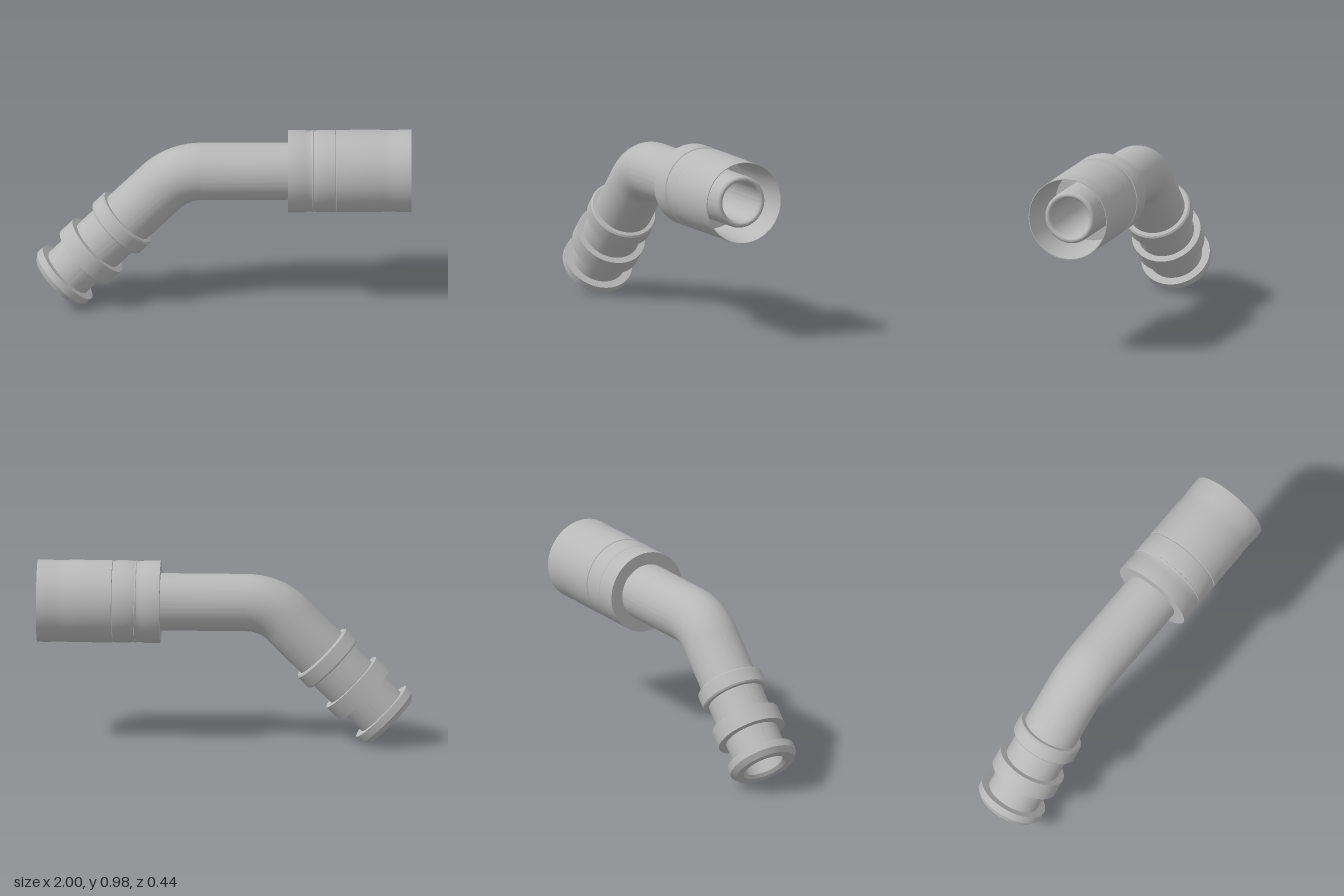
import * as THREE from 'three';
import { toCreasedNormals } from 'three/addons/utils/BufferGeometryUtils.js';

const AXIS_Y = 0.755;        // height of the straight run
const CORNER_X = -0.245;     // where the two pipe axes cross
const BEND_R = 0.302;        // centreline radius of the 45 degree bend
const TANGENT = BEND_R * Math.tan(Math.PI / 8);
const PIPE_R = 0.153, BORE_R = 0.107;

export function createModel() {
  const model = new THREE.Group();
  const metal = new THREE.MeshStandardMaterial({ color: 0xb8b8b8, side: THREE.DoubleSide });
  metal.name = 'grey metal';

  // Turned part from [radius, distance along axis] pairs
  function turned(name, parent, profile) {
    const pts = profile.map(([r, d]) => new THREE.Vector2(r, d));
    const geo = toCreasedNormals(new THREE.LatheGeometry(pts, 96), 0.5);
    const mesh = new THREE.Mesh(geo, metal);
    mesh.name = name;
    parent.add(mesh);
  }

  // Straight run: local y points along +x, distances equal world x
  const straight = new THREE.Group();
  straight.name = 'straightRun';
  straight.position.y = AXIS_Y;
  straight.rotation.z = -Math.PI / 2;
  model.add(straight);
  const bendStart = CORNER_X + TANGENT;
  turned('straightPipe', straight, [[PIPE_R, bendStart], [PIPE_R, 0.36]]);

  // Crimp sleeve with shallow grooves and an open, tapered mouth
  turned('crimpSleeve', straight, [
    [0.15, 0.342], [0.22, 0.342], [0.22, 0.43], [0.217, 0.437], [0.217, 0.468],
    [0.22, 0.472], [0.22, 0.478], [0.215, 0.48], [0.217, 0.488], [0.22, 0.52],
    [0.22, 0.56], [0.218, 0.594], [0.215, 0.597], [0.22, 0.6], [0.22, 0.83],
    [0.217, 0.85], [0.217, 0.9], [0.22, 0.94], [0.22, 1.0], [0.216, 1.0],
    [0.2, 0.83], [0.2, 0.6], [0.12, 0.6],
  ]);

  // Inner nipple with a rounded lip, running back into the bore
  const lip = [];
  const mid = (0.14 + BORE_R) / 2, half = (0.14 - BORE_R) / 2;
  for (let i = 0; i <= 10; i++) {
    const a = (i / 10) * Math.PI;
    lip.push([mid + half * Math.cos(a), 0.95 + 0.022 * Math.sin(a)]);
  }
  turned('innerNipple', straight, [[0.14, 0.58], ...lip, [BORE_R, bendStart]]);

  // Bend: outer wall and bore
  for (const [name, r] of [['bendWall', PIPE_R], ['bendBore', BORE_R]]) {
    const bend = new THREE.Mesh(new THREE.TorusGeometry(BEND_R, r, 96, 32, Math.PI / 4), metal);
    bend.name = name;
    bend.rotation.z = Math.PI / 2;
    bend.position.set(bendStart, AXIS_Y - BEND_R, 0);
    model.add(bend);
  }

  // Angled leg: local y points down and to the model's right
  const leg = new THREE.Group();
  leg.name = 'angledLeg';
  leg.position.set(CORNER_X, AXIS_Y, 0);
  leg.rotation.z = 3 * Math.PI / 4;
  model.add(leg);
  turned('legPipe', leg, [[PIPE_R, TANGENT], [PIPE_R, 0.66], [0.146, 0.66], [0.146, 0.85]]);
  turned('upperCollar', leg, [
    [0.15, 0.38], [0.174, 0.38], [0.182, 0.388], [0.182, 0.462], [0.176, 0.47], [0.15, 0.47],
  ]);
  turned('middleCollar', leg, [[0.14, 0.608], [0.188, 0.608], [0.188, 0.705], [0.14, 0.705]]);
  turned('endFlange', leg, [
    [0.14, 0.833], [0.188, 0.833], [0.188, 0.874], [0.166, 0.902],
    [0.122, 0.902], [BORE_R, 0.885], [BORE_R, TANGENT],
  ]);

  return model;
}
